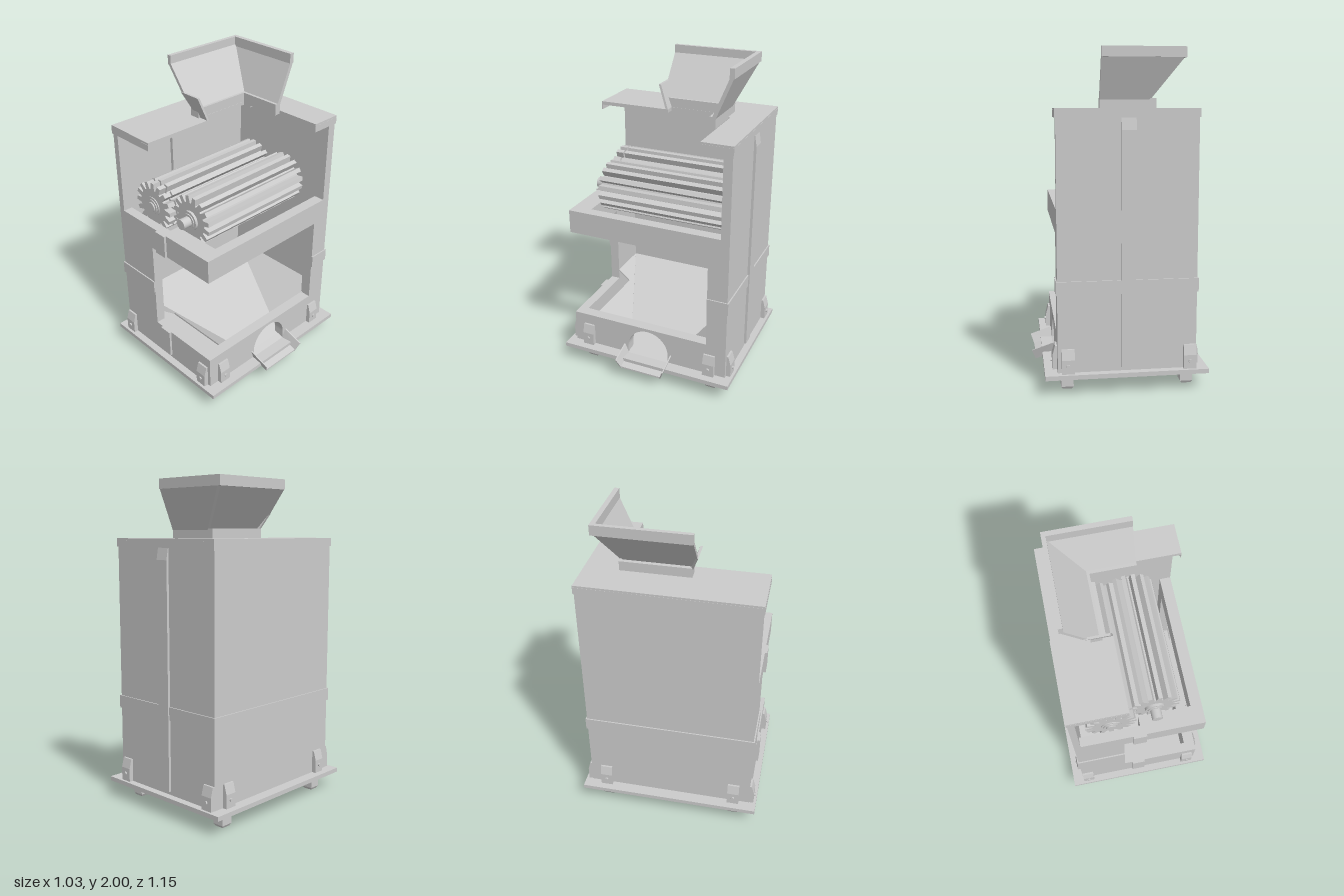
import * as THREE from 'three';

const mat = new THREE.MeshStandardMaterial({ color: 0xcccccc, flatShading: true, side: THREE.DoubleSide });
const smooth = new THREE.MeshStandardMaterial({ color: 0xcccccc });

export function createModel() {
  const model = new THREE.Group();

  const add = (name, geo, parent = model, m = mat) => {
    const mesh = new THREE.Mesh(geo, m);
    mesh.name = name;
    parent.add(mesh);
    return mesh;
  };
  // Box given by its limits on each axis
  const box = (name, x0, x1, y0, y1, z0, z1, parent) =>
    add(name, new THREE.BoxGeometry(x1 - x0, y1 - y0, z1 - z0)
      .translate((x0 + x1) / 2, (y0 + y1) / 2, (z0 + z1) / 2), parent);
  const shapeOf = pts => new THREE.Shape(pts.map(p => new THREE.Vector2(p[0], p[1])));
  const extrude = (shape, depth) =>
    new THREE.ExtrudeGeometry(shape, { depth, bevelEnabled: false, curveSegments: 16 });
  // Flat convex plate: polygon corners thickened along an offset vector
  const plate = (name, pts, off, parent) => {
    let a = pts.map(p => new THREE.Vector3(...p));
    const o = new THREE.Vector3(...off);
    const n = a[1].clone().sub(a[0]).cross(a[2].clone().sub(a[0]));
    if (n.dot(o) > 0) a.reverse();
    const b = a.map(p => p.clone().add(o));
    const tri = [];
    for (let i = 0; i < a.length; i++) {
      const j = (i + 1) % a.length;
      tri.push(a[i], b[i], b[j], a[i], b[j], a[j]);
      if (i > 0 && j > 0) tri.push(a[0], a[i], a[j], b[0], b[j], b[i]);
    }
    const g = new THREE.BufferGeometry().setFromPoints(tri);
    g.computeVertexNormals();
    return add(name, g, parent);
  };

  // Base plate and feet
  box('basePlate', -0.52, 0.445, 0.1, 0.127, -0.575, 0.575);
  for (const x of [-0.41, 0.31]) for (const z of [-0.425, 0.425]) {
    box('foot', x - 0.037, x + 0.037, 0.015, 0.1, z - 0.037, z + 0.037);
    const tip = add('footTip', new THREE.CylinderGeometry(0.052, 0.04, 0.015, 4, 1).rotateY(Math.PI / 4));
    tip.position.set(x, 0.0075, z);
  }

  // Housing walls, cut open at the front right corner
  box('leftPanel', -0.45, -0.41, 0.125, 1.63, -0.53, 0.53);
  box('backPanel', -0.41, 0.37, 0.125, 1.63, -0.53, -0.475);
  box('innerLiner', -0.41, -0.388, 1.08, 1.63, -0.475, 0.135);
  const front = shapeOf([[-0.41, 0.125], [0.37, 0.125], [0.37, 0.34], [-0.14, 0.34], [-0.14, 0.93],
    [0.37, 0.93], [0.37, 1.08], [-0.41, 1.08]]);
  add('frontPanel', extrude(front, 0.06).translate(0, 0, 0.47));

  // Side wall in (-z, y) with arched outlet
  const side = new THREE.Shape();
  side.moveTo(-0.47, 0.125);
  side.lineTo(-0.14, 0.125);
  side.lineTo(-0.14, 0.18);
  side.absarc(0, 0.18, 0.14, Math.PI, 0, true);
  for (const p of [[0.14, 0.125], [0.475, 0.125], [0.475, 1.08], [-0.47, 1.08], [-0.47, 0.93],
    [0.4, 0.93], [0.4, 0.34], [-0.47, 0.34]]) side.lineTo(...p);
  add('sidePanel', extrude(side, 0.07).rotateY(Math.PI / 2).translate(0.3, 0, 0));
  box('bearingLedge', -0.03, 0.3, 0.93, 1.08, 0.41, 0.47);

  // Reinforcing straps
  const strap = shapeOf([[0.53, 0.15], [0.546, 0.15], [0.546, 1.53], [0.53, 1.62]]);
  add('backStrap', extrude(strap, 0.085).rotateY(Math.PI / 2).translate(-0.085, 0, 0));
  box('frontStrapLower', -0.085, 0, 0.15, 0.34, 0.53, 0.545);
  box('frontStrapUpper', -0.085, 0, 0.93, 1.08, 0.53, 0.545);
  box('frontBand', -0.45, -0.14, 0.59, 0.67, 0.53, 0.538);
  box('leftBand', -0.458, -0.45, 0.59, 0.67, -0.538, 0.538);
  box('backBand', -0.458, 0.378, 0.59, 0.67, -0.538, -0.53);
  box('sideBand', 0.37, 0.378, 0.59, 0.67, -0.538, -0.4);

  // Wedge brackets with bolts, holding the housing to the base
  const wedge = shapeOf([[0, 0.127], [0.028, 0.127], [0.028, 0.21], [0.012, 0.27], [0, 0.27]]);
  const bracket = (x, z, turn) => {
    const g = new THREE.Group();
    g.name = 'bracket';
    add('bracketBody', extrude(wedge, 0.075).translate(0, 0, -0.0375), g);
    const bolt = add('bracketBolt', new THREE.CylinderGeometry(0.011, 0.011, 0.012, 8).rotateZ(Math.PI / 2), g);
    bolt.position.set(0.031, 0.175, 0);
    g.position.set(x, 0, z);
    g.rotation.y = turn;
    model.add(g);
  };
  for (const x of [-0.41, 0.31]) {
    bracket(x, 0.53, -Math.PI / 2);
    bracket(x, -0.53, Math.PI / 2);
  }
  for (const z of [-0.425, 0.425]) {
    bracket(0.37, z, 0);
    bracket(-0.45, z, Math.PI);
  }

  // Lid with inlet notch and rim
  const lid = shapeOf([[-0.455, 0.535], [-0.455, -0.535], [-0.11, -0.535], [-0.11, -0.07], [-0.17, -0.07],
    [-0.17, 0.285], [-0.11, 0.285], [-0.11, 0.34], [0.375, 0.34], [0.375, 0.535]]);
  add('lid', extrude(lid, 0.022).rotateX(-Math.PI / 2).translate(0, 1.63, 0));
  box('lidRimLeft', -0.456, -0.45, 1.6, 1.64, -0.535, 0.535);
  box('lidRimBack', -0.455, 0.375, 1.6, 1.64, -0.536, -0.53);
  box('lidRimSide', 0.37, 0.376, 1.6, 1.64, -0.535, -0.34);
  box('lidRimFront', -0.455, -0.11, 1.6, 1.64, 0.53, 0.536);

  // Feed hopper, cut open towards the front right
  const hopper = new THREE.Group();
  hopper.name = 'hopper';
  model.add(hopper);
  plate('hopperLeftWall', [[-0.37, 1.95, -0.405], [-0.37, 1.95, 0.135], [-0.256, 1.8, 0.135],
    [-0.18, 1.7, 0.1], [-0.18, 1.7, -0.305]], [-0.025, 0, 0], hopper);
  plate('hopperBackWall', [[-0.38, 1.95, -0.405], [0.1, 1.95, -0.405], [0.1, 1.7, -0.3],
    [-0.195, 1.7, -0.3]], [0, 0, -0.025], hopper);
  plate('hopperFrontWall', [[-0.28, 1.8, 0.125], [-0.13, 1.8, 0.125], [-0.11, 1.65, 0.07],
    [-0.2, 1.65, 0.07]], [0, 0, 0.015], hopper);
  box('hopperLipLeft', -0.395, -0.37, 1.94, 2, -0.43, 0.135, hopper);
  box('hopperLipBack', -0.395, 0.1, 1.94, 2, -0.43, -0.4, hopper);
  box('hopperNeckLeft', -0.238, -0.172, 1.64, 1.71, -0.31, 0.1, hopper);
  box('hopperNeckBack', -0.238, 0.1, 1.64, 1.71, -0.325, -0.285, hopper);

  // Collecting pan sloping to the outlet
  const down = [0, -0.012, 0];
  const outB = [0.34, 0.13, -0.14], outF = [0.34, 0.13, 0.14];
  plate('panLeft', [[-0.41, 0.41, -0.475], outB, [-0.41, 0.41, 0.47]], down);
  plate('panFloor', [outB, outF, [-0.41, 0.41, 0.47]], down);
  plate('panBack', [[-0.41, 0.41, -0.475], [0.3, 0.41, -0.475], outB], down);
  plate('panFront', [[-0.22, 0.34, 0.387], [0.31, 0.34, 0.387], outF], down);
  plate('panFrontCorner', [[-0.41, 0.41, 0.47], [-0.14, 0.41, 0.47], [-0.14, 0.34, 0.387], [-0.22, 0.34, 0.387]], down);

  // Discharge chute
  plate('chuteFloor', [[0.33, 0.14, -0.142], [0.33, 0.14, 0.142], [0.488, 0.092, 0.142], [0.488, 0.092, -0.142]],
    [0, -0.01, 0]);
  for (const s of [-1, 1])
    plate('chuteCheek', [[0.37, 0.118, s * 0.142], [0.488, 0.082, s * 0.142], [0.51, 0.145, s * 0.168],
      [0.375, 0.19, s * 0.168]], [0, 0, -s * 0.008]);

  // Meshing toothed rollers on shafts
  const TEETH = 16;
  const toothed = (phase) => {
    const pts = [];
    for (let i = 0; i < TEETH; i++) {
      const a = phase + i / TEETH * Math.PI * 2;
      for (const [r, d] of [[0.114, -0.15], [0.158, -0.085], [0.158, 0.085], [0.114, 0.15]])
        pts.push([r * Math.cos(a + d), r * Math.sin(a + d)]);
    }
    return shapeOf(pts);
  };
  const roller = (name, x, phase, frontEnd) => {
    const g = new THREE.Group();
    g.name = name;
    g.position.set(x, 1.17, 0);
    model.add(g);
    add('rollerBody', extrude(toothed(phase), 0.82).translate(0, 0, -0.425), g);
    if (frontEnd > 0.42)
      add('driveGear', extrude(toothed(phase), 0.05).translate(0, 0, 0.405), g);
    const rod = (part, r, z0, z1) =>
      add(part, new THREE.CylinderGeometry(r, r, z1 - z0, 24).rotateX(Math.PI / 2)
        .translate(0, 0, (z0 + z1) / 2), g, smooth);
    rod('hub', 0.062, -0.435, frontEnd + 0.006);
    rod('collar', 0.047, -0.445, frontEnd + 0.012);
    rod('shaft', 0.033, -0.475, 0.475);
  };
  roller('leftRoller', -0.205, 0, 0.455);
  roller('rightRoller', 0.075, Math.PI / TEETH, 0.405);

  return model;
}
